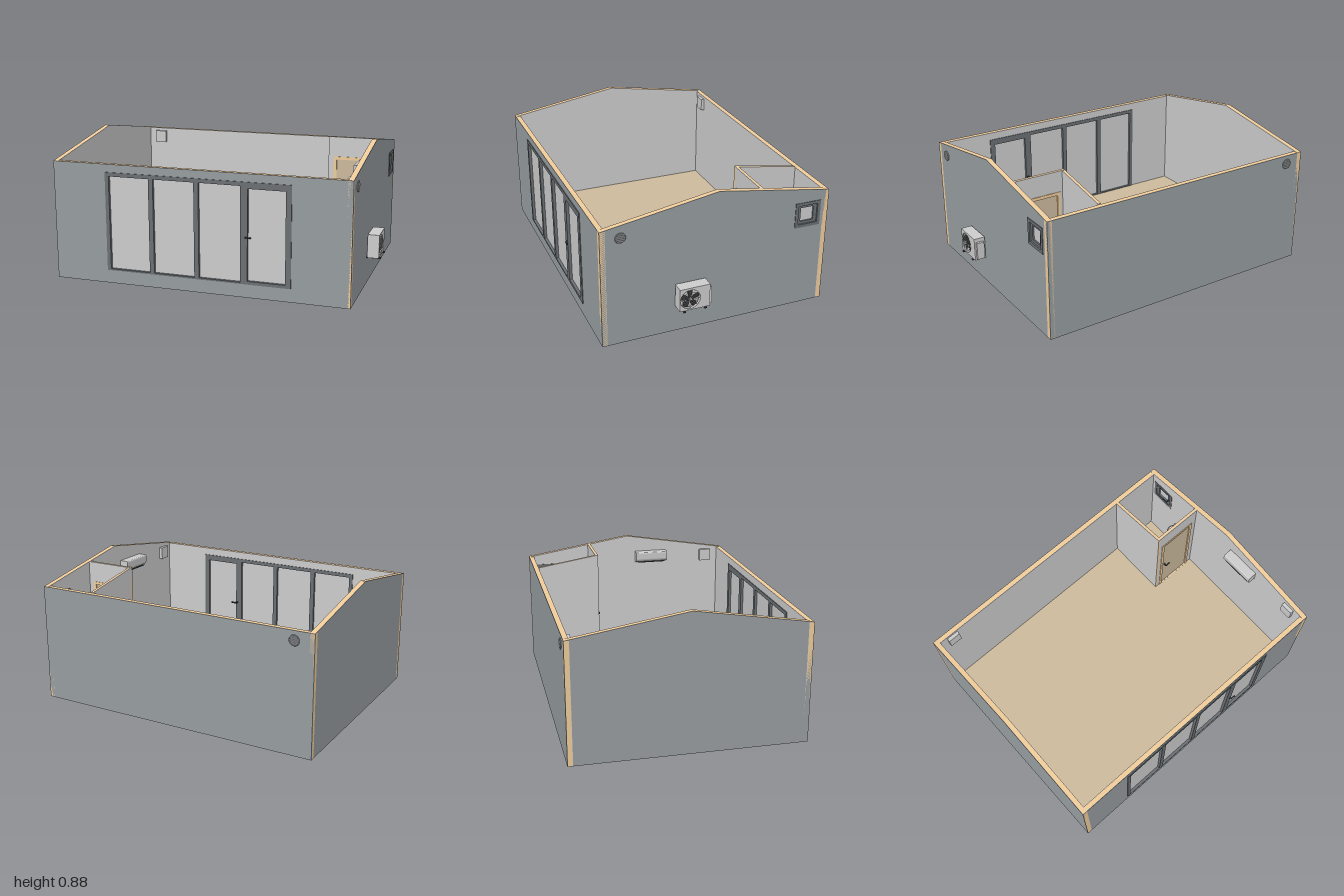
import * as THREE from 'three';

const mat = (color, side = THREE.FrontSide) => new THREE.MeshStandardMaterial({ color, side });
const GREY = mat(0xcccccc), GREY2 = mat(0xcccccc, THREE.DoubleSide), CLAD = mat(0x969c9f), TIMBER = mat(0xf0cb98);
const FLOOR = mat(0xcbb99c), FRAME = mat(0x6a6f73), DARK = mat(0x3a3c3e), UNDER = mat(0x7c8084);

const roofY = z => 0.765 + 0.12 * (1 - Math.abs(z + 0.005) / 0.733);

function add(parent, name, geo, material, x = 0, y = 0, z = 0) {
  const m = new THREE.Mesh(geo, material);
  m.name = name;
  m.position.set(x, y, z);
  parent.add(m);
  return m;
}

// Box given by its two opposite corners
function box(parent, name, material, x0, x1, y0, y1, z0, z1) {
  return add(parent, name, new THREE.BoxGeometry(x1 - x0, y1 - y0, z1 - z0), material,
    (x0 + x1) / 2, (y0 + y1) / 2, (z0 + z1) / 2);
}

function group(parent, name) {
  const g = new THREE.Group();
  g.name = name;
  parent.add(g);
  return g;
}

const rect = ([x0, x1, y0, y1]) => [[x0, y0], [x1, y0], [x1, y1], [x0, y1]];

// Plate from an outline with rectangular holes, extruded along z (or along x, with outline x = -z)
function plate(points, holes, from, to, alongX = false) {
  const v = p => new THREE.Vector2(p[0], p[1]);
  const s = new THREE.Shape(points.map(v));
  holes.forEach(h => s.holes.push(new THREE.Path(rect(h).map(v))));
  const g = new THREE.ExtrudeGeometry(s, { depth: to - from, bevelEnabled: false });
  g.translate(0, 0, from);
  if (alongX) g.rotateY(Math.PI / 2);
  return g;
}

// Wall of three layers; cuts are four positions across the thickness
function wall(parent, name, points, holes, cuts, mats, alongX) {
  const g = group(parent, name);
  mats.forEach((m, i) => add(g, name + 'Layer', plate(points, holes, cuts[i], cuts[i + 1], alongX), m));
}

// Outline under the sloping roof line between two z positions
function gable(zFront, zBack, y0) {
  const top = [[-zBack, roofY(zBack)], [-zFront, roofY(zFront)]];
  if (zFront > 0) top.splice(1, 0, [0.005, 0.885]);
  return [[-zFront, y0], [-zBack, y0], ...top];
}

// Lever handle on both sides of a door
function handle(parent, x, y, z, reach, dir) {
  const g = group(parent, 'doorHandle');
  box(g, 'spindle', DARK, x - 0.005, x + 0.005, y - 0.005, y + 0.005, z - reach, z + reach);
  for (const s of [-1, 1]) {
    const a = Math.min(x, x + dir * 0.035), zc = z + s * reach;
    box(g, 'lever', DARK, a, a + 0.035, y - 0.004, y + 0.004, zc - 0.004, zc + 0.004);
  }
}

// Round slatted vent facing +z
function vent(parent, x, y, z, turn) {
  const g = group(parent, 'roundVent');
  add(g, 'ventDisc', new THREE.CylinderGeometry(0.03, 0.03, 0.006, 24).rotateX(Math.PI / 2), CLAD);
  add(g, 'ventRim', new THREE.TorusGeometry(0.03, 0.004, 6, 24), CLAD, 0, 0, 0.002);
  for (let i = -2; i <= 2; i++) {
    const w = Math.sqrt(0.03 ** 2 - (i * 0.011) ** 2);
    add(g, 'ventSlat', new THREE.BoxGeometry(w * 2, 0.004, 0.008), GREY, 0, i * 0.011, 0.003).rotation.x = 0.4;
  }
  g.position.set(x, y, z);
  g.rotation.y = turn;
}

function shellParts(root) {
  // Floor slab between the walls
  box(root, 'floor', FLOOR, -0.967, 0.877, 0.06, 0.09, -0.705, 0.695);
  box(root, 'floorUnderside', UNDER, -0.967, 0.877, 0.02, 0.06, -0.705, 0.695);
  // Long walls, the front one open for the glazing
  const long = rect([-1, 0.91, 0, 0.765]);
  wall(root, 'frontWall', long, [[-0.645, 0.55, 0.085, 0.715]], [0.695, 0.698, 0.725, 0.728], [GREY, TIMBER, CLAD]);
  wall(root, 'backWall', long, [], [-0.738, -0.735, -0.708, -0.705], [CLAD, TIMBER, GREY]);
  // Gable end walls
  const ends = gable(0.728, -0.738, 0);
  wall(root, 'rightEndWall', ends, [], [-1, -0.997, -0.97, -0.967], [CLAD, TIMBER, GREY], true);
  wall(root, 'leftEndWall', ends, [[0.515, 0.685, 0.54, 0.705]], [0.877, 0.88, 0.907, 0.91], [GREY, TIMBER, CLAD], true);
}

function glazing(root) {
  // Three fixed panes and a glazed door
  const g = group(root, 'frontGlazing');
  const panes = [-0.62, -0.325, -0.03].map(x => [x, x + 0.265, 0.095, 0.69]);
  panes.push([0.28, 0.515, 0.105, 0.675]);
  add(g, 'glazingFrame', plate(rect([-0.645, 0.55, 0.085, 0.715]), panes, 0.69, 0.733), FRAME);
  panes.forEach(p => box(g, 'glassPane', GREY, ...p, 0.707, 0.714));
  handle(g, 0.27, 0.378, 0.705, 0.038, 1);

  // Small square window in the end wall
  const w = group(root, 'bathroomWindow');
  const inner = [0.535, 0.665, 0.56, 0.685], pane = [0.555, 0.642, 0.577, 0.668];
  add(w, 'windowFrame', plate(rect([0.515, 0.685, 0.54, 0.705]), [inner], 0.874, 0.914, true), FRAME);
  add(w, 'windowSash', plate(rect(inner), [pane], 0.878, 0.904, true), FRAME);
  box(w, 'windowGlass', GREY, 0.889, 0.894, 0.577, 0.668, -0.642, -0.555);
  box(w, 'windowHandle', DARK, 0.857, 0.88, 0.615, 0.623, -0.552, -0.544);
  box(w, 'windowHandleGrip', DARK, 0.855, 0.861, 0.615, 0.623, -0.58, -0.544);
}

function bathroom(root) {
  // Partitions follow the roof slope
  const g = group(root, 'bathroom');
  wall(g, 'sidePartition', gable(-0.283, -0.705, 0.09), [], [0.535, 0.538, 0.552, 0.555], [GREY, TIMBER, GREY], true);
  wall(g, 'frontPartition', rect([0.535, 0.877, 0.09, 0.838]), [[0.575, 0.84, 0.092, 0.7]],
    [-0.303, -0.3, -0.286, -0.283], [GREY, TIMBER, GREY]);
  const leaf = [0.592, 0.823, 0.092, 0.683];
  add(g, 'doorFrame', plate(rect([0.572, 0.843, 0.091, 0.703]), [leaf], -0.307, -0.279), TIMBER);
  box(g, 'doorLeaf', FLOOR, ...leaf, -0.299, -0.287);
  handle(g, 0.61, 0.38, -0.293, 0.026, 1);

  // Toilet
  const t = group(g, 'toilet');
  const dShape = (r, len) => {
    const s = new THREE.Shape();
    s.moveTo(-r, 0);
    s.lineTo(r, 0);
    s.lineTo(r, len - r);
    s.absarc(0, len - r, r, 0, Math.PI, false);
    return s;
  };
  const slab = (name, r, len, top, depth) => add(t, name,
    new THREE.ExtrudeGeometry(dShape(r, len), { depth, bevelEnabled: false, curveSegments: 16 }).rotateX(Math.PI / 2),
    GREY, 0, top, 0);
  slab('toiletFoot', 0.035, 0.13, 0.16, 0.07);
  slab('toiletBowl', 0.05, 0.178, 0.225, 0.067);
  slab('toiletSeat', 0.055, 0.185, 0.237, 0.009);
  slab('toiletLid', 0.053, 0.183, 0.245, 0.006);
  box(t, 'cistern', GREY, -0.052, 0.052, 0.2, 0.35, 0, 0.05);
  box(t, 'cisternLid', GREY, -0.056, 0.056, 0.35, 0.362, 0, 0.054);
  add(t, 'flushButton', new THREE.CylinderGeometry(0.01, 0.01, 0.006, 12), GREY, 0, 0.364, 0.027);
  t.position.set(0.655, 0, -0.705);

  // Washbasin on a pedestal
  const s = group(g, 'washbasin');
  const profile = [[0, -0.06], [0.025, -0.058], [0.045, -0.035], [0.053, 0], [0.046, 0], [0.036, -0.03], [0, -0.045]];
  add(s, 'basin', new THREE.LatheGeometry(profile.map(p => new THREE.Vector2(...p)), 28), GREY2, 0, 0.4, 0).scale.z = 1.15;
  add(s, 'pedestal', new THREE.CylinderGeometry(0.018, 0.026, 0.26, 16), GREY, 0.015, 0.22, 0);
  box(s, 'basinLedge', GREY, 0.035, 0.052, 0.365, 0.403, -0.05, 0.05);
  const spout = new THREE.CatmullRomCurve3([[0.04, 0.4, 0], [0.038, 0.43, 0], [0.025, 0.438, 0], [0.008, 0.425, 0]]
    .map(p => new THREE.Vector3(...p)));
  add(s, 'tap', new THREE.TubeGeometry(spout, 12, 0.005, 8), GREY2);
  for (const z of [-0.028, 0.028]) add(s, 'tapKnob', new THREE.CylinderGeometry(0.007, 0.007, 0.02, 10), GREY, 0.04, 0.41, z);
  s.position.set(0.827, 0, -0.41);
}

function climate(root) {
  // Outdoor unit: case with round opening, fan and guard rings
  const o = group(root, 'outdoorUnit');
  const s = new THREE.Shape(rect([-0.27, -0.077, 0.18, 0.33]).map(p => new THREE.Vector2(...p)));
  s.holes.push(new THREE.Path().absarc(-0.203, 0.253, 0.064, 0, Math.PI * 2, true));
  add(o, 'unitCase', new THREE.ExtrudeGeometry(s, { depth: 0.03, bevelEnabled: false, curveSegments: 24 })
    .rotateY(Math.PI / 2), GREY, 0.96, 0, 0);
  box(o, 'unitBody', GREY, 0.917, 0.962, 0.18, 0.33, 0.077, 0.27);
  box(o, 'valveCover', GREY, 0.93, 0.98, 0.19, 0.305, 0.06, 0.078);
  for (const z of [0.1, 0.235]) box(o, 'unitFoot', DARK, 0.91, 1, 0.173, 0.181, z, z + 0.015);

  const fan = group(o, 'fan');
  const blade = new THREE.Shape();
  blade.moveTo(0.012, -0.006);
  blade.quadraticCurveTo(0.04, -0.026, 0.058, -0.012);
  blade.quadraticCurveTo(0.063, 0.008, 0.052, 0.018);
  blade.quadraticCurveTo(0.03, 0.016, 0.012, 0.006);
  for (let i = 0; i < 5; i++) {
    const b = add(fan, 'fanBlade', new THREE.ExtrudeGeometry(blade, { depth: 0.004, bevelEnabled: false }).rotateX(0.25), DARK);
    b.rotation.z = i * Math.PI * 0.4 + 0.3;
  }
  add(fan, 'fanHub', new THREE.CylinderGeometry(0.014, 0.014, 0.014, 16).rotateX(Math.PI / 2), DARK, 0, 0, 0.003);
  for (const r of [0.02, 0.035, 0.05, 0.064]) add(fan, 'guardRing', new THREE.TorusGeometry(r, 0.0012, 5, 32), GREY, 0, 0, 0.014);
  for (let i = 0; i < 4; i++) {
    add(fan, 'guardBar', new THREE.BoxGeometry(0.128, 0.002, 0.002), GREY, 0, 0, 0.014).rotation.z = i * Math.PI / 4;
  }
  fan.position.set(0.976, 0.253, 0.203);
  fan.rotation.y = Math.PI / 2;

  // Indoor unit with a rounded front, high on the end wall
  const i = new THREE.Shape();
  i.moveTo(0, 0.69);
  i.lineTo(0, 0.765);
  i.lineTo(-0.055, 0.765);
  i.quadraticCurveTo(-0.062, 0.763, -0.062, 0.755);
  i.lineTo(-0.06, 0.715);
  i.quadraticCurveTo(-0.055, 0.695, -0.03, 0.69);
  add(root, 'indoorUnit', new THREE.ExtrudeGeometry(i, { depth: 0.235, bevelEnabled: false }), GREY, 0.877, 0, 0.055);
  box(root, 'airFlap', DARK, 0.824, 0.845, 0.688, 0.693, 0.07, 0.275);

  // Ventilators: box inside, round vent outside
  box(root, 'ventilatorBox', GREY, 0.853, 0.877, 0.67, 0.755, 0.557, 0.64);
  vent(root, 0.911, 0.708, 0.605, Math.PI / 2);
  box(root, 'ventilatorBox', GREY, -0.915, -0.833, 0.66, 0.745, -0.705, -0.682);
  vent(root, -0.875, 0.707, -0.739, Math.PI);
}

export function createModel() {
  const root = new THREE.Group();
  root.name = 'gardenStudio';
  shellParts(root);
  glazing(root);
  bathroom(root);
  climate(root);
  return root;
}
